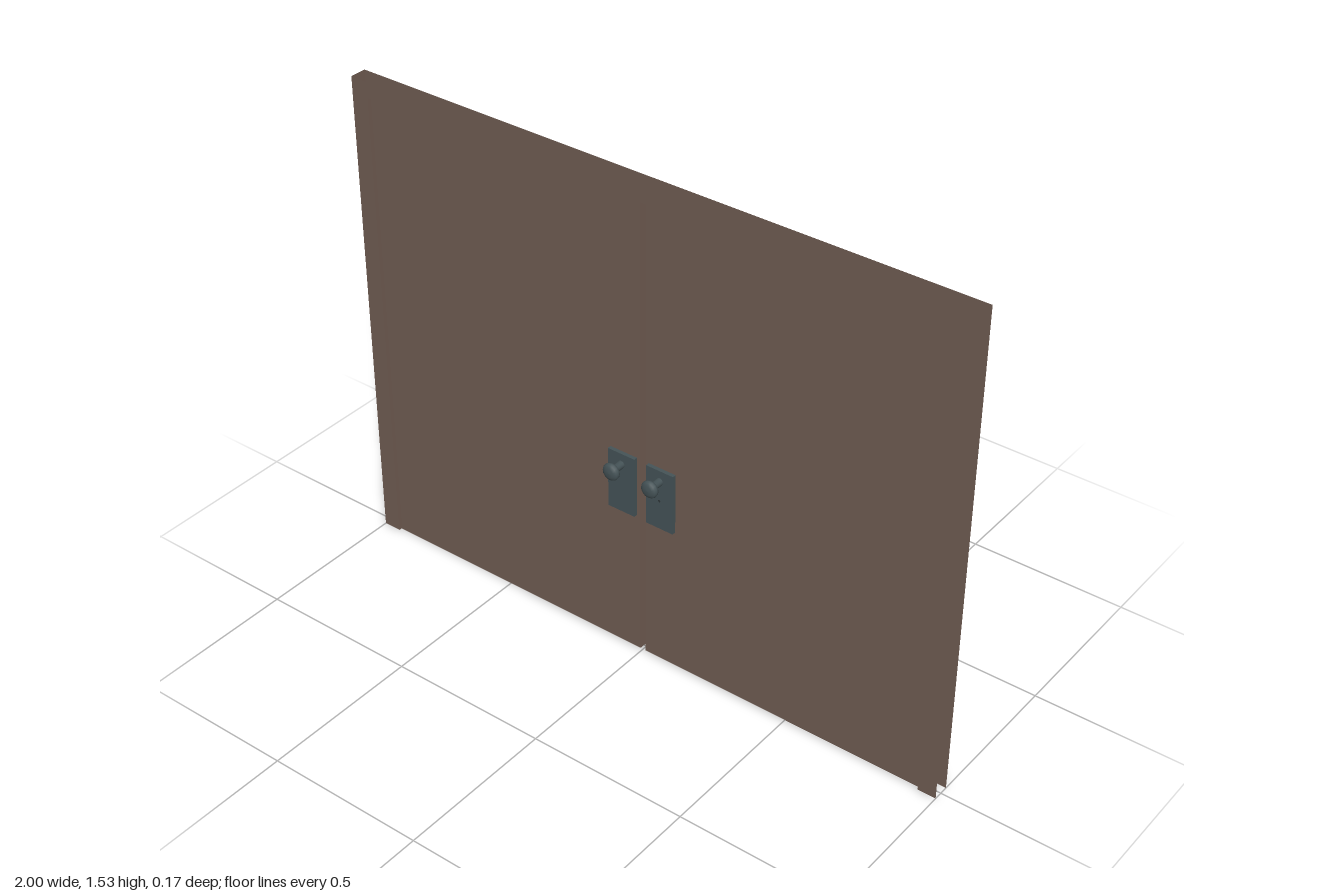
import * as THREE from 'three';

const W = 1, H = 1.53, IN = 0.943, IH = 1.48, FZ = 0.026, DZ = 0.016;

export function createModel() {
  const wood = new THREE.MeshStandardMaterial({ color: 0x705c52, side: THREE.DoubleSide });
  wood.name = 'brown wood';
  const metal = new THREE.MeshStandardMaterial({ color: 0x455357 });
  metal.name = 'dark metal';
  const hole = new THREE.MeshStandardMaterial({ color: 0x2c3437 });
  hole.name = 'keyhole dark';

  const model = new THREE.Group();
  model.name = 'doubleDoor';
  const add = (parent, name, geometry, material, x = 0, y = 0, z = 0) => {
    const mesh = new THREE.Mesh(geometry, material);
    mesh.name = name;
    mesh.position.set(x, y, z);
    parent.add(mesh);
    return mesh;
  };

  // Frame: hollow shell, open along the top, the bottom and the +x end
  const frame = new THREE.Group();
  frame.name = 'frame';
  model.add(frame);
  const outline = new THREE.Shape([
    [-W, 0], [-W, H], [W, H], [W, 0], [IN, 0], [IN, IH], [-IN, IH], [-IN, 0],
  ].map(([x, y]) => new THREE.Vector2(x, y)));
  add(frame, 'frameFront', new THREE.ShapeGeometry(outline), wood, 0, 0, FZ);
  add(frame, 'frameBack', new THREE.ShapeGeometry(outline).rotateY(Math.PI), wood, 0, 0, -FZ);
  const lintel = new THREE.PlaneGeometry(2 * IN, 2 * FZ).rotateX(Math.PI / 2);
  add(frame, 'lintelUnderside', lintel, wood, 0, IH, 0);
  for (const s of [-1, 1]) {
    const jamb = new THREE.PlaneGeometry(2 * FZ, IH).rotateY(-s * Math.PI / 2);
    add(frame, 'jamb', jamb, wood, s * IN, IH / 2, 0);
  }
  const end = new THREE.PlaneGeometry(2 * FZ, H).rotateY(-Math.PI / 2);
  add(frame, 'outerEnd', end, wood, -W, H / 2, 0);

  // Knob: stem with a rounded disc grip
  const profile = [
    [0.012, 0], [0.012, 0.028], [0.018, 0.033], [0.026, 0.038],
    [0.027, 0.045], [0.024, 0.051], [0.014, 0.055], [0, 0.056],
  ].map(([r, h]) => new THREE.Vector2(r, h));
  const knobGeo = new THREE.LatheGeometry(profile, 16).rotateX(Math.PI / 2);
  const plateGeo = new THREE.BoxGeometry(0.092, 0.195, 0.012);
  const keyGeo = new THREE.CircleGeometry(0.004, 8);

  // Door leaves with lock plates on both faces
  for (const s of [-1, 1]) {
    const door = new THREE.Group();
    door.name = s > 0 ? 'leftDoor' : 'rightDoor';
    model.add(door);
    const inner = 0.009, outer = IN - 0.001;
    const leaf = new THREE.BoxGeometry(outer - inner, IH - 0.001, 2 * DZ);
    add(door, 'leaf', leaf, wood, s * (inner + outer) / 2, (IH - 0.001) / 2, 0);

    for (const face of [1, -1]) {
      const side = new THREE.Group();
      side.name = face > 0 ? 'frontHardware' : 'backHardware';
      side.rotation.y = face > 0 ? 0 : Math.PI;
      door.add(side);
      const x = s * face * 0.0665;
      add(side, 'lockPlate', plateGeo, metal, x, 0.573, DZ + 0.006);
      // The back of the -x leaf carries a plate only
      if (face > 0 || s > 0) add(side, 'knob', knobGeo, metal, x, 0.635, DZ + 0.012);
      if (s > 0) add(side, 'keyhole', keyGeo, hole, x, 0.57, DZ + 0.0128);
    }
  }
  return model;
}
